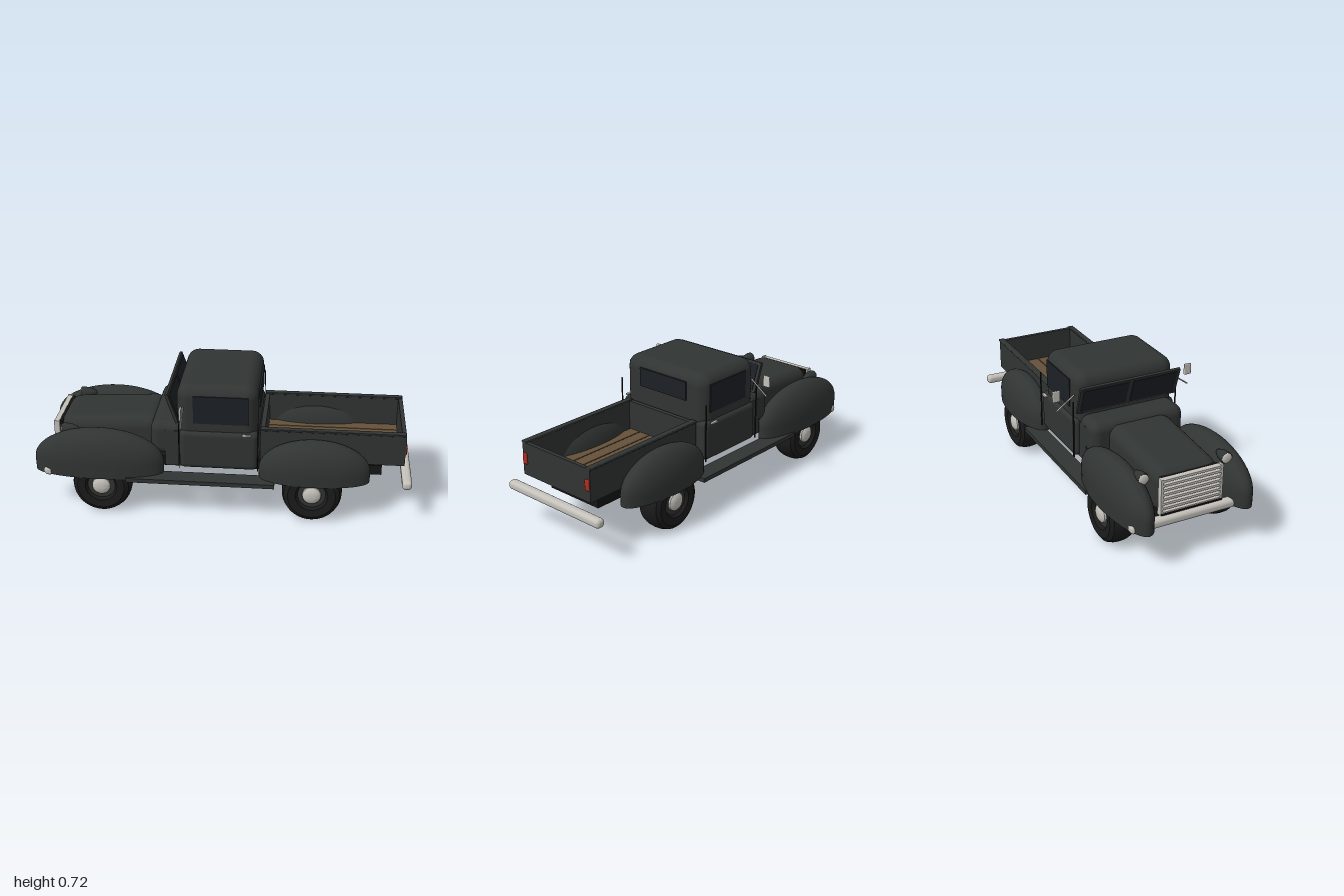
import * as THREE from 'three';
import { toCreasedNormals } from 'three/addons/utils/BufferGeometryUtils.js';
import { RoundedBoxGeometry } from 'three/addons/geometries/RoundedBoxGeometry.js';

const mat = (color) => new THREE.MeshStandardMaterial({ color });

export function createModel() {
  const truck = new THREE.Group();
  const paint = mat(0x303432), glass = mat(0x1c2026), rubber = mat(0x1b1b1b), black = mat(0x151515);
  const chrome = mat(0xc4c1ba), wood = mat(0x66513b), red = mat(0xb02a20);

  const add = (name, geometry, material, parent = truck) => {
    const mesh = new THREE.Mesh(geometry, material);
    mesh.name = name;
    parent.add(mesh);
    return mesh;
  };
  // Box given by its min and max on each axis, with optional rounded edges
  const box = (name, material, [x0, x1], [y0, y1], [z0, z1], r = 0, parent = truck) => {
    const size = [x1 - x0, y1 - y0, z1 - z0];
    const geometry = r ? new RoundedBoxGeometry(...size, 5, r) : new THREE.BoxGeometry(...size);
    const mesh = add(name, geometry, material, parent);
    mesh.position.set((x0 + x1) / 2, (y0 + y1) / 2, (z0 + z1) / 2);
    return mesh;
  };
  // Z range on one side of the truck
  const side = (s, a, b) => (s > 0 ? [a, b] : [-b, -a]);

  // Chassis
  box('chassis', black, [-0.92, 0.845], [0.2, 0.255], [-0.17, 0.17]);

  // Hood, lower towards the nose
  const hoodGeo = new RoundedBoxGeometry(0.55, 0.27, 0.36, 6, 0.065);
  const hp = hoodGeo.attributes.position;
  for (let i = 0; i < hp.count; i++) {
    const nose = 0.5 - hp.getX(i) / 0.55;
    if (hp.getY(i) > 0) hp.setY(i, hp.getY(i) - 0.03 * nose);
    hp.setZ(i, hp.getZ(i) * (1 - 0.05 * nose));
  }
  hoodGeo.computeVertexNormals();
  add('hood', hoodGeo, paint).position.set(-0.615, 0.352, 0);
  box('cowl', paint, [-0.38, -0.2], [0.31, 0.5], [-0.268, 0.268], 0.05);
  box('firewall', paint, [-0.3, -0.2], [0.255, 0.46], [-0.268, 0.268]);

  // Cab
  box('cabTop', paint, [-0.237, 0.187], [0.3, 0.72], [-0.284, 0.284], 0.065);
  box('cabBody', paint, [-0.222, 0.192], [0.255, 0.475], [-0.3, 0.3], 0.03);
  box('rearWindow', glass, [0.18, 0.195], [0.567, 0.67], [-0.163, 0.163]);

  // Windscreen, leaning forward at the top
  const windscreen = new THREE.Group();
  windscreen.name = 'windscreen';
  windscreen.position.set(-0.258, 0.595, 0);
  windscreen.rotation.z = 0.33;
  truck.add(windscreen);
  box('windscreenFrame', paint, [-0.009, 0.009], [-0.085, 0.085], [-0.29, 0.29], 0.004, windscreen);
  for (const s of [-1, 1])
    box('windscreenPane', glass, [-0.012, 0.012], [-0.07, 0.07], side(s, 0.012, 0.272), 0, windscreen);

  // Grille with horizontal bars
  box('grilleBack', black, [-0.895, -0.87], [0.25, 0.435], [-0.16, 0.16]);
  for (let i = 0; i < 8; i++) {
    const y = 0.25 + i * 0.025;
    box('grilleBar', chrome, [-0.915, -0.888], [y, y + 0.012], [-0.165, 0.165]);
  }
  for (const s of [-1, 1])
    box('grilleFrame', chrome, [-0.915, -0.885], [0.245, 0.44], side(s, 0.16, 0.172));

  // Bumpers
  box('frontBumper', chrome, [-0.945, -0.893], [0.197, 0.247], [-0.343, 0.343], 0.02);
  box('rearBumper', chrome, [0.947, 0.998], [0.197, 0.246], [-0.327, 0.327], 0.02);

  // Cargo bed
  box('tailgate', paint, [0.935, 0.957], [0.297, 0.473], [-0.24, 0.24]);
  box('bedFront', paint, [0.2, 0.225], [0.297, 0.473], [-0.24, 0.24]);
  for (let i = 0; i < 6; i++) {
    const z = -0.215 + i * 0.072;
    box('bedPlank', wood, [0.22, 0.945], [0.297, 0.312], [z, z + 0.066]);
  }

  // Domed fender with a straight skirt and a flat underside
  const fenderGeo = (length, height, skirt) => {
    const geometry = new THREE.SphereGeometry(1, 48, 32);
    const p = geometry.attributes.position;
    for (let i = 0; i < p.count; i++) {
      const y = p.getY(i);
      p.setXYZ(i, p.getX(i) * length, y < -0.01 ? -skirt : y * height, p.getZ(i) * 0.098);
    }
    return toCreasedNormals(geometry, 0.7);
  };
  const fenders = [
    ['frontFender', fenderGeo(0.346, 0.178, 0.072), -0.654, 0.28],
    ['rearFender', fenderGeo(0.292, 0.17, 0.055), 0.488, 0.27],
  ];

  // Wheel parts, turned around the axle
  const turned = (points) =>
    toCreasedNormals(new THREE.LatheGeometry(points.map(([r, h]) => new THREE.Vector2(r, h)), 40).rotateX(Math.PI / 2), 0.6);
  const tyre = turned([[0.07, -0.045], [0.085, -0.066], [0.125, -0.07], [0.146, -0.056], [0.156, -0.028],
    [0.158, 0], [0.156, 0.028], [0.146, 0.056], [0.125, 0.07], [0.085, 0.066], [0.07, 0.045]]);
  const rim = turned([[0, -0.05], [0.08, -0.05], [0.086, -0.04], [0.086, 0.04], [0.08, 0.05], [0, 0.05]]);
  const cap = turned([[0.05, 0.045], [0.048, 0.06], [0.035, 0.07], [0.018, 0.074], [0, 0.075]]);
  // Headlight shell tapering backwards
  const shell = new THREE.LatheGeometry(
    [[0.03, 0], [0.031, 0.015], [0.026, 0.05], [0.014, 0.08], [0, 0.09]].map(([r, h]) => new THREE.Vector2(r, h)), 24
  ).rotateZ(-Math.PI / 2);
  const shellPaint = mat(0x303432);
  shellPaint.side = THREE.DoubleSide;

  for (const s of [-1, 1]) {
    for (const [name, geometry, x, y] of fenders) add(name, geometry, paint).position.set(x, y, s * 0.275);

    for (const x of [-0.635, 0.48]) {
      const wheel = new THREE.Group();
      wheel.name = 'wheel';
      wheel.position.set(x, 0.158, s * 0.295);
      if (s < 0) wheel.rotation.y = Math.PI;
      add('tyre', tyre, rubber, wheel);
      add('rim', rim, paint, wheel);
      add('hubcap', cap, chrome, wheel);
      truck.add(wheel);
    }

    box('runningBoard', paint, [-0.5, 0.283], [0.195, 0.218], side(s, 0.27, 0.37));
    box('bedSide', paint, [0.2, 0.955], [0.297, 0.473], side(s, 0.217, 0.24));
    box('bedRail', paint, [0.2, 0.957], [0.468, 0.48], side(s, 0.212, 0.247), 0.004);
    box('tailLight', red, [0.945, 0.964], [0.358, 0.416], side(s, 0.208, 0.237), 0.005);

    // Door details
    box('sideWindow', glass, [-0.147, 0.14], [0.517, 0.67], side(s, 0.27, 0.288));
    box('doorHandle', chrome, [0.11, 0.155], [0.461, 0.471], side(s, 0.297, 0.314), 0.003);
    for (const x of [-0.222, 0.192])
      box('doorSeam', black, [x - 0.002, x + 0.002], [0.26, 0.578], side(s, 0.298, 0.305));

    // Door mirror and its sloping arm
    box('mirror', chrome, [-0.206, -0.194], [0.586, 0.648], side(s, 0.365, 0.407), 0.005);
    const arm = new THREE.LineCurve3(new THREE.Vector3(-0.2, 0.606, s * 0.285), new THREE.Vector3(-0.2, 0.532, s * 0.387));
    add('mirrorArm', new THREE.TubeGeometry(arm, 1, 0.004, 8), chrome);

    // Headlight
    const headlight = new THREE.Group();
    headlight.name = 'headlight';
    headlight.position.set(-0.85, 0.428, s * 0.232);
    add('headlightShell', shell, shellPaint, headlight);
    add('headlightLens', new THREE.SphereGeometry(0.028, 24, 16).scale(0.35, 1, 1), chrome, headlight);
    truck.add(headlight);
  }
  return truck;
}
